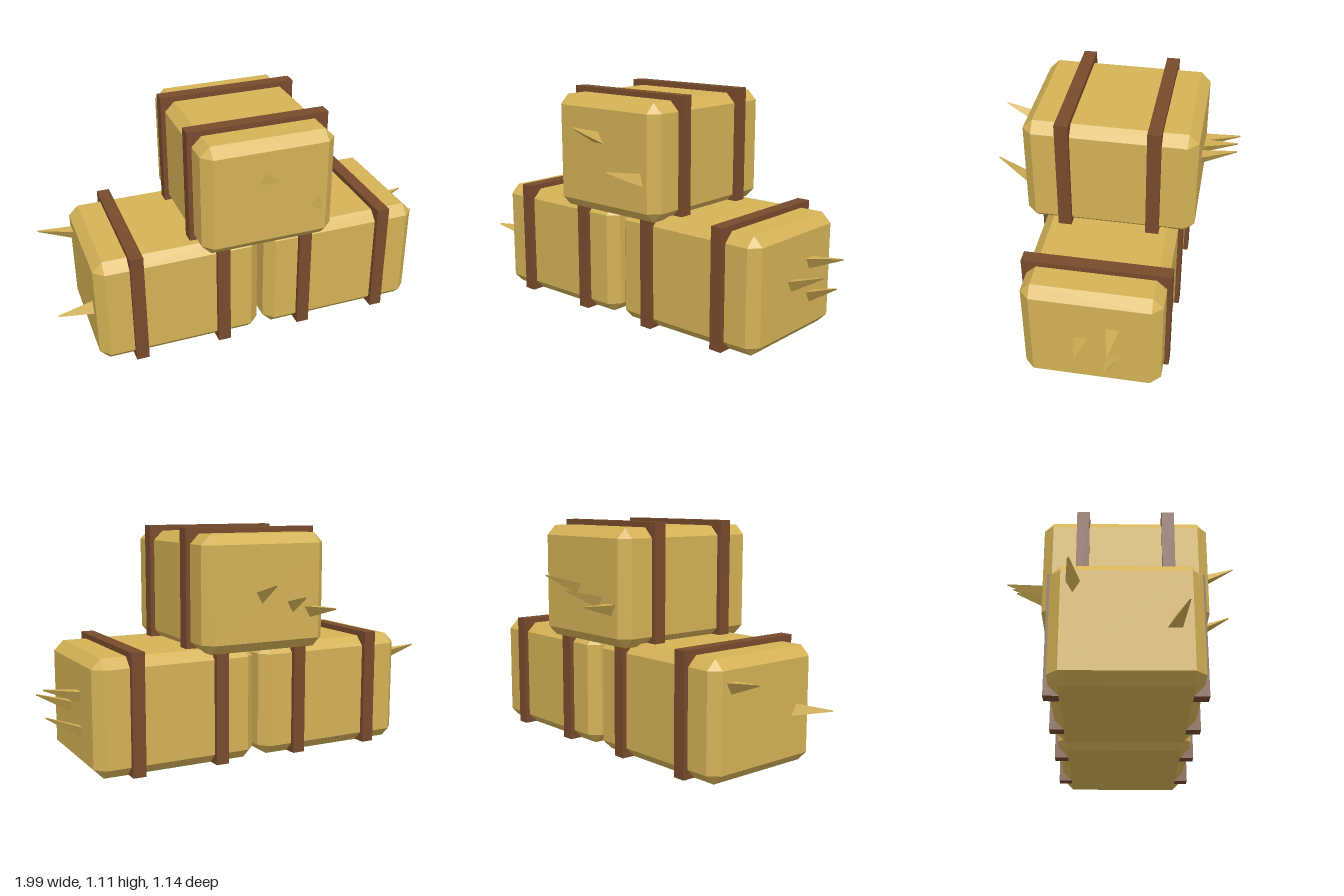
import * as THREE from 'three';
import { ConvexGeometry } from 'three/addons/geometries/ConvexGeometry.js';

const straw = new THREE.MeshStandardMaterial({ color: 0xd4b256 });
straw.name = 'straw';
const strapBrown = new THREE.MeshStandardMaterial({ color: 0x784b2c });
strapBrown.name = 'strap brown';

const LENGTH = 0.81, HEIGHT = 0.55, DEPTH = 0.65, BEVEL = 0.047;

function mesh(name, geometry, material) {
  const m = new THREE.Mesh(geometry, material);
  m.name = name;
  return m;
}

// Box with every edge cut at 45 degrees
function chamferedBox(w, h, d, c) {
  const points = [];
  for (const sx of [-1, 1]) for (const sy of [-1, 1]) for (const sz of [-1, 1]) {
    for (let axis = 0; axis < 3; axis++) {
      const inset = [c, c, c];
      inset[axis] = 0;
      points.push(new THREE.Vector3(
        sx * (w / 2 - inset[0]), sy * (h / 2 - inset[1]), sz * (d / 2 - inset[2])));
    }
  }
  return new ConvexGeometry(points);
}

// Three-sided stalk tapering from a base triangle to a blunt tip.
// The triangle lies in the end face: axis 'x' or 'z' is the face normal.
function stalk(axis, base, tip, roll) {
  const points = [];
  for (const [centre, r] of [[base, 0.036], [tip, 0.004]]) {
    for (let i = 0; i < 3; i++) {
      const a = roll + i * Math.PI * 2 / 3;
      const u = Math.cos(a) * r, v = Math.sin(a) * r;
      points.push(new THREE.Vector3(
        centre[0] + (axis === 'z' ? u : 0), centre[1] + v, centre[2] + (axis === 'x' ? u : 0)));
    }
  }
  return mesh('strawStalk', new ConvexGeometry(points), straw);
}

// Bale lying along x, standing on y = 0, with two straps
function bale(name) {
  const group = new THREE.Group();
  group.name = name;
  const body = mesh('baleBody', chamferedBox(LENGTH, HEIGHT, DEPTH, BEVEL), straw);
  body.position.y = HEIGHT / 2;
  group.add(body);
  for (const side of [-1, 1]) {
    const strap = mesh('strap', new THREE.BoxGeometry(0.063, 0.574, 0.694), strapBrown);
    strap.position.set(side * 0.21, 0.289, 0);
    group.add(strap);
  }
  return group;
}

export function createModel() {
  const model = new THREE.Group();
  model.name = 'hayBaleStack';

  // Two bales end to end, one across the top
  const left = bale('leftBale');
  left.position.set(0.418, 0, 0.003);
  const right = bale('rightBale');
  right.position.set(-0.425, 0, 0.003);
  const top = bale('topBale');
  top.position.set(-0.003, 0.535, 0.005);
  top.rotation.y = Math.PI / 2;
  model.add(left, right, top);

  // Loose stalks: face axis, base centre, tip, roll of the base triangle
  const down = -Math.PI / 2, up = Math.PI / 2;
  const stalks = [
    // +x end
    ['x', [0.82, 0.356, -0.10], [0.993, 0.397, -0.108], down],
    ['x', [0.82, 0.28, 0.045], [0.985, 0.345, 0.042], down],
    ['x', [0.82, 0.19, -0.11], [0.98, 0.262, -0.085], down],
    // -x end
    ['x', [-0.827, 0.432, -0.222], [-1, 0.466, -0.235], down],
    ['x', [-0.827, 0.255, 0.2], [-1, 0.28, 0.25], up],
    // gap between the lower bales
    ['x', [-0.022, 0.39, 0.08], [0.14, 0.43, 0.09], down],
    ['x', [-0.022, 0.25, -0.1], [0.14, 0.27, -0.11], down],
    ['x', [-0.022, 0.16, 0.12], [0.14, 0.22, 0.1], down],
    ['x', [0.015, 0.34, -0.15], [-0.15, 0.36, -0.16], down],
    ['x', [0.015, 0.2, 0.18], [-0.15, 0.24, 0.2], down],
    // front of the top bale
    ['z', [-0.032, 0.894, 0.409], [-0.03, 0.966, 0.572], up],
    ['z', [0.226, 0.731, 0.409], [0.18, 0.787, 0.568], 1.3],
    // back of the top bale
    ['z', [0.03, 0.798, -0.399], [0.05, 0.862, -0.565], down],
    ['z', [-0.137, 0.748, -0.399], [-0.105, 0.801, -0.565], down],
    ['z', [-0.233, 0.72, -0.399], [-0.263, 0.741, -0.573], down],
  ];
  for (const s of stalks) model.add(stalk(...s));

  return model;
}
